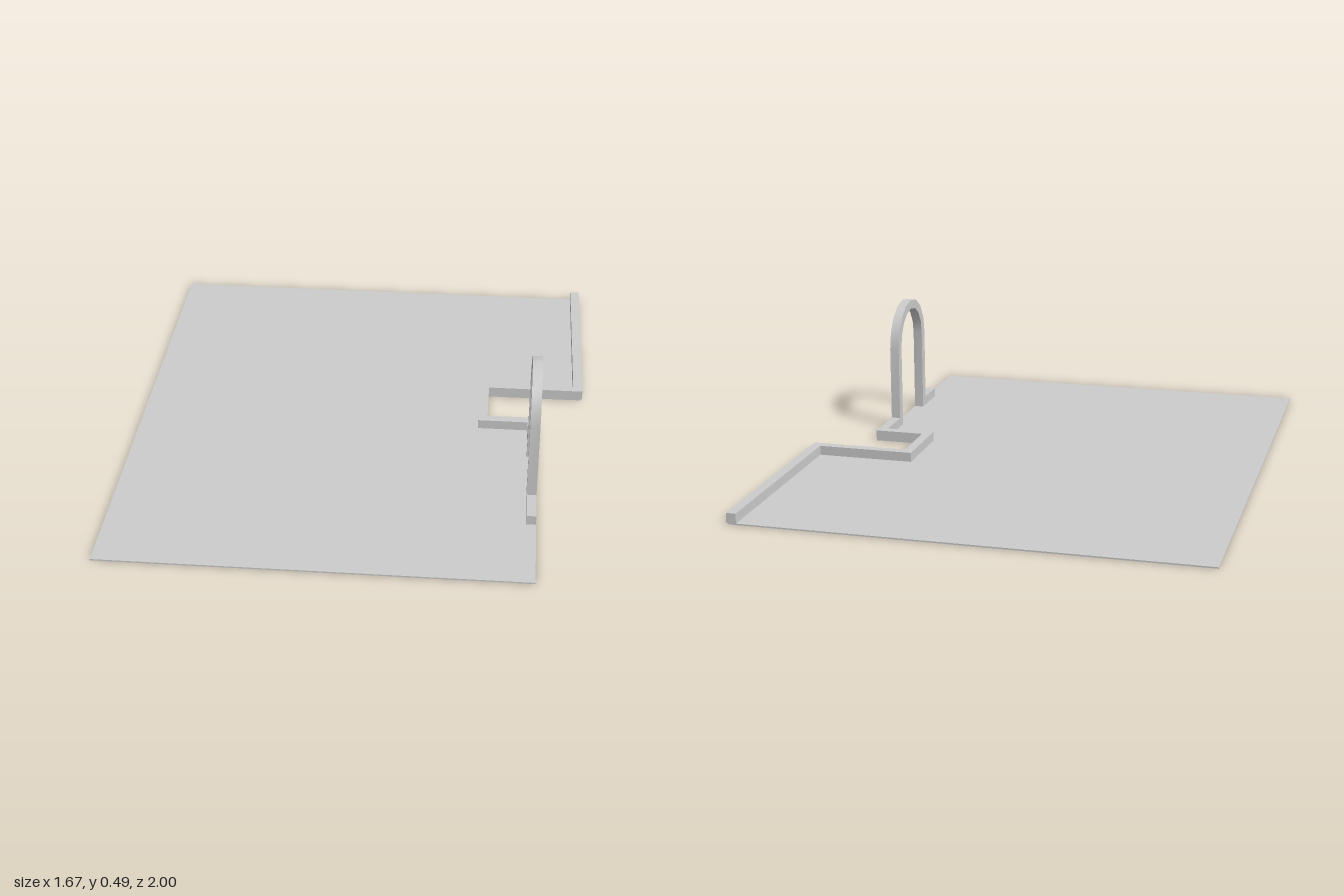
import * as THREE from 'three';
import { toCreasedNormals } from 'three/addons/utils/BufferGeometryUtils.js';

const FLOOR = 0.005; // floor thickness
const T = 0.035;     // wall thickness
const material = new THREE.MeshStandardMaterial({ color: 0xcccccc });

function addMesh(group, name, geometry) {
  const mesh = new THREE.Mesh(geometry, material);
  mesh.name = name;
  group.add(mesh);
  return mesh;
}

// Extrude a plan outline given as [x, z] corners upwards from y0 to y1
function slab(plan, y0, y1) {
  const shape = new THREE.Shape(plan.map(([x, z]) => new THREE.Vector2(x, -z)));
  return new THREE.ExtrudeGeometry(shape, { depth: y1 - y0, bevelEnabled: false })
    .rotateX(-Math.PI / 2)
    .translate(0, y0, 0);
}

export function createModel() {
  const group = new THREE.Group();
  group.name = 'floorWithArch';

  // Thin floor with a notch in its left edge
  addMesh(group, 'floor', slab([
    [-0.835, -1], [0.828, -1], [0.828, -0.18], [0.475, -0.18],
    [0.475, 0.027], [0.66, 0.027], [0.66, 1], [-0.835, 1],
  ], 0, FLOOR));

  // Low wall following the notch, up to the arch
  const top = 0.04;
  addMesh(group, 'lowWall', slab([
    [0.835, -1], [0.835, -0.18], [0.475, -0.18], [0.475, 0.027], [0.66, 0.027], [0.66, 0.21],
    [0.66 - T, 0.21], [0.66 - T, 0.027 + T], [0.475 - T, 0.027 + T],
    [0.475 - T, -0.18 - T], [0.835 - T, -0.18 - T], [0.835 - T, -1],
  ], FLOOR, top));

  // Short wall stub on the other side of the arch
  addMesh(group, 'wallStub', slab([
    [0.66, 0.54], [0.66, 0.67], [0.66 - T, 0.67], [0.66 - T, 0.54],
  ], FLOOR, top));

  // Doorway arch: straight legs and a half-round head
  const zMid = 0.375, spring = 0.32, outer = 0.165, inner = outer - T, segments = 8;
  const arc = (r) => Array.from({ length: segments + 1 }, (_, i) => {
    const a = (i / segments) * Math.PI;
    return new THREE.Vector2(zMid + r * Math.cos(a), spring + r * Math.sin(a));
  });
  const foot = (z) => new THREE.Vector2(z, FLOOR);
  const outline = new THREE.Shape([
    foot(zMid + outer), ...arc(outer), foot(zMid - outer),
    foot(zMid - inner), ...arc(inner).reverse(), foot(zMid + inner),
  ]);
  const arch = new THREE.ExtrudeGeometry(outline, { depth: T, bevelEnabled: false })
    .rotateY(-Math.PI / 2)
    .translate(0.66, 0, 0);
  addMesh(group, 'arch', toCreasedNormals(arch, 0.6));

  return group;
}
